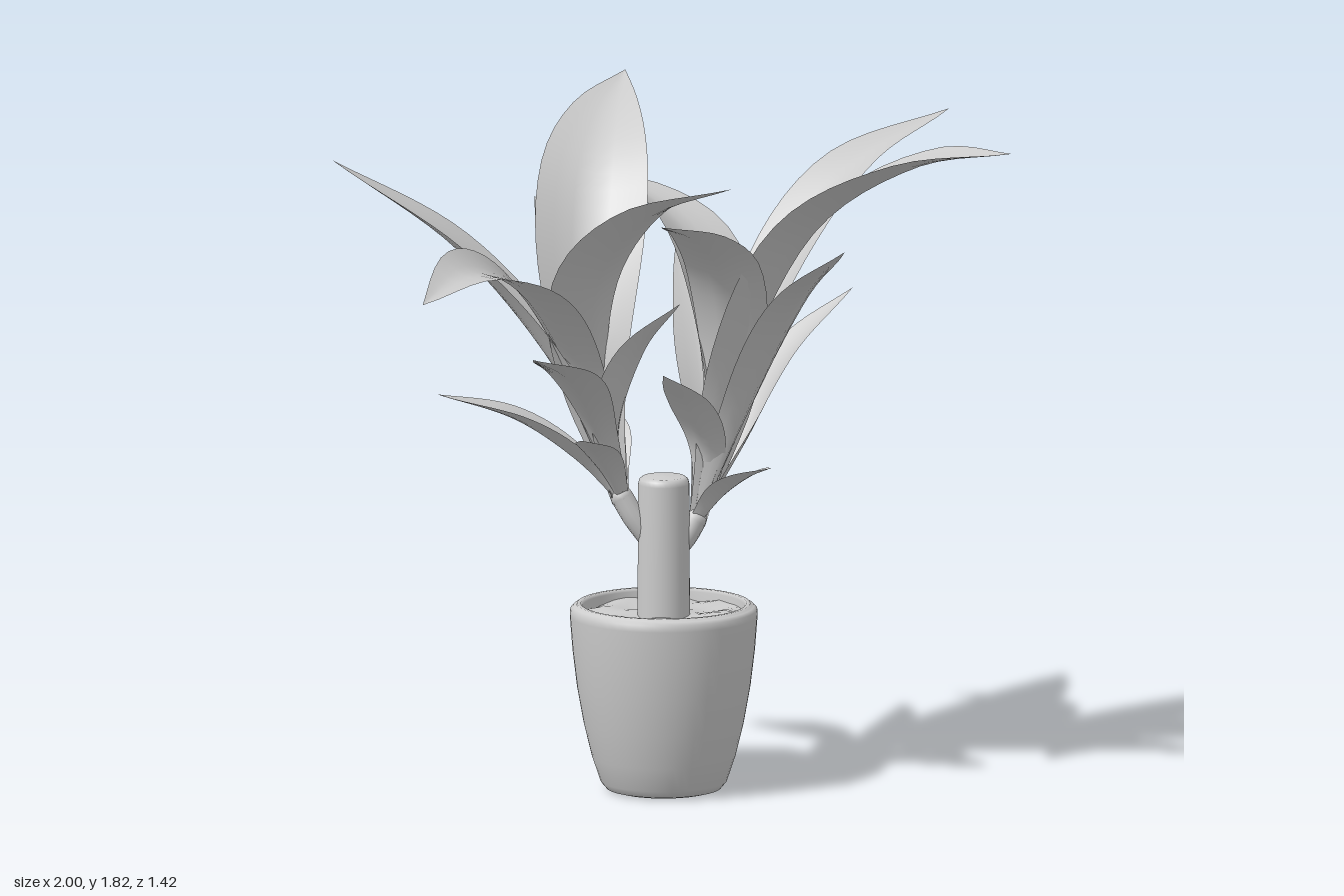
import * as THREE from 'three';

const POT_X = -0.04, POT_Z = -0.14;
const V = (p) => new THREE.Vector3(...p);
const grey = new THREE.MeshStandardMaterial({ color: 0xcccccc });
const greyThin = new THREE.MeshStandardMaterial({ color: 0xcccccc, side: THREE.DoubleSide });

function add(group, name, geometry, material = grey) {
  const mesh = new THREE.Mesh(geometry, material);
  mesh.name = name;
  group.add(mesh);
  return mesh;
}

function lathe(points, segments) {
  return new THREE.LatheGeometry(points.map(([r, y]) => new THREE.Vector2(r, y)), segments);
}

// Pointed blade swept along a curve, folded upwards along its midrib;
// roll tips the blade sideways towards its end
function leafGeometry(points, width, roll) {
  const curve = new THREE.CatmullRomCurve3(points.map(V), false, 'centripetal');
  const rows = 24, cols = 6;
  const first = V(points[0]), last = V(points[points.length - 1]);
  const across = new THREE.Vector3(last.z - first.z, 0, first.x - last.x).normalize();
  const positions = [], index = [];
  for (let i = 0; i <= rows; i++) {
    const t = i / rows;
    const centre = curve.getPointAt(t), tangent = curve.getTangentAt(t);
    const side = across.clone().addScaledVector(tangent, -across.dot(tangent)).normalize()
      .applyAxisAngle(tangent, roll * t);
    const normal = new THREE.Vector3().crossVectors(tangent, side);
    const half = 0.02 * (1 - t) + width * 0.5 * Math.sin(Math.PI * Math.pow(t, 1.33));
    const fold = 0.2 + 0.9 * Math.pow(1 - t, 2);
    for (let j = 0; j <= cols; j++) {
      const s = (j / cols) * 2 - 1;
      const p = centre.clone().addScaledVector(side, s * half)
        .addScaledVector(normal, (Math.pow(Math.abs(s), 1.4) - 0.3) * half * fold);
      positions.push(p.x, p.y, p.z);
      if (i < rows && j < cols) {
        const a = i * (cols + 1) + j, b = a + cols + 1;
        index.push(a, a + 1, b, a + 1, b + 1, b);
      }
    }
  }
  const g = new THREE.BufferGeometry();
  g.setAttribute('position', new THREE.Float32BufferAttribute(positions, 3));
  g.setIndex(index);
  g.computeVertexNormals();
  return g;
}

// Leaf lists: width, roll, then the points after the shared base
const LEFT = {
  name: 'leftShoot',
  branch: [[-0.07, 0.68, -0.165], [-0.105, 0.735, -0.185], [-0.13, 0.79, -0.205]],
  base: [-0.13, 0.775, -0.205],
  leaves: [
    [0.22, -0.45, [-0.25, 1.13, -0.25], [-0.5, 1.4, -0.15], [-0.77, 1.5, -0.04], [-1.0, 1.45, 0.06]],
    [0.21, 0, [-0.26, 1.13, -0.29], [-0.46, 1.46, -0.48], [-0.71, 1.69, -0.71]],
    [0.28, 0, [-0.18, 1.2, -0.27], [-0.06, 1.59, -0.42], [0.1, 1.75, -0.57], [0.27, 1.82, -0.71]],
    [0.22, 0, [-0.21, 1.1, -0.23], [-0.27, 1.4, -0.14], [-0.24, 1.6, 0.05], [-0.12, 1.69, 0.26]],
    [0.14, 0, [-0.15, 1.05, -0.28], [-0.12, 1.35, -0.47], [-0.08, 1.53, -0.65]],
    [0.13, 0, [-0.23, 0.98, -0.18], [-0.42, 1.16, -0.04], [-0.7, 1.28, 0.15]],
    [0.11, 0, [-0.19, 1.0, -0.17], [-0.17, 1.2, -0.1], [-0.1, 1.34, 0.01]],
    [0.14, 0, [-0.23, 0.9, -0.26], [-0.37, 1.01, -0.34], [-0.56, 1.08, -0.45]],
    [0.09, 0, [-0.2, 0.87, -0.17], [-0.28, 0.94, -0.12], [-0.4, 1.0, -0.03]],
    [0.11, 0, [-0.12, 0.86, -0.26], [-0.08, 0.94, -0.34], [-0.01, 1.0, -0.45]],
  ],
};
const RIGHT = {
  name: 'rightShoot',
  branch: [[-0.02, 0.64, -0.13], [0.015, 0.68, -0.115], [0.04, 0.725, -0.105]],
  base: [0.04, 0.71, -0.105],
  leaves: [
    [0.3, 0, [0.15, 1.13, -0.07], [0.28, 1.52, 0.09], [0.4, 1.71, 0.37], [0.47, 1.785, 0.71]],
    [0.19, 0, [0.2, 1.08, -0.11], [0.35, 1.36, -0.14], [0.62, 1.6, -0.19], [1.0, 1.7, -0.25]],
    [0.19, 0, [0.13, 1.08, -0.08], [0.06, 1.38, -0.01], [-0.1, 1.52, 0.09], [-0.31, 1.6, 0.2]],
    [0.16, 0, [0.14, 1.0, -0.04], [0.18, 1.33, 0.14], [0.15, 1.51, 0.4]],
    [0.23, 0.3, [0.16, 1.08, -0.15], [0.21, 1.43, -0.33], [0.16, 1.55, -0.53], [0.06, 1.57, -0.67]],
    [0.16, 0, [0.15, 0.95, -0.18], [0.25, 1.2, -0.35], [0.3, 1.37, -0.53]],
    [0.12, 0, [0.18, 0.92, -0.09], [0.32, 1.16, -0.06], [0.5, 1.31, -0.02]],
    [0.11, 0, [0.06, 0.9, -0.09], [-0.03, 1.04, -0.04], [-0.18, 1.16, 0.04]],
    [0.1, 0, [0.065, 0.8, -0.03], [0.08, 0.86, 0.06], [0.08, 0.9, 0.17]],
  ],
};

function shoot(spec) {
  const group = new THREE.Group();
  group.name = spec.name;
  const path = new THREE.CatmullRomCurve3(spec.branch.map(V));
  add(group, 'branch', new THREE.TubeGeometry(path, 10, 0.03, 12));
  const knob = add(group, 'branchTip', new THREE.SphereGeometry(0.03, 12, 8));
  knob.position.set(...spec.branch[2]);
  spec.leaves.forEach(([width, roll, ...points]) =>
    add(group, 'leaf', leafGeometry([spec.base, ...points], width, roll), greyThin));
  return group;
}

export function createModel() {
  const model = new THREE.Group();
  model.name = 'pottedPlant';

  // Tapered pot with a rounded foot and a stepped rim
  const pot = add(model, 'pot', lathe([
    [0, 0], [0.13, 0], [0.152, 0.006], [0.168, 0.025], [0.19, 0.09], [0.212, 0.18],
    [0.23, 0.28], [0.242, 0.38], [0.249, 0.47], [0.248, 0.488], [0.24, 0.496],
    [0.232, 0.497], [0.23, 0.503], [0.22, 0.503], [0.215, 0.495], [0.212, 0.44],
  ], 48), greyThin);
  pot.position.set(POT_X, 0, POT_Z);

  // Uneven soil
  const soilGeometry = new THREE.RingGeometry(0.001, 0.214, 40, 8).rotateX(-Math.PI / 2);
  const p = soilGeometry.attributes.position;
  for (let i = 0; i < p.count; i++) {
    const x = p.getX(i), z = p.getZ(i);
    p.setY(i, 0.006 * Math.sin(x * 31 + 1) * Math.cos(z * 27) + 0.003 * Math.sin(z * 60 + x * 20));
  }
  soilGeometry.computeVertexNormals();
  add(model, 'soil', soilGeometry).position.set(POT_X, 0.475, POT_Z);

  // Cut trunk with a softened top edge
  const trunk = add(model, 'trunk', lathe([
    [0.07, 0.44], [0.069, 0.6], [0.068, 0.825], [0.065, 0.838], [0.056, 0.845], [0, 0.847],
  ], 32));
  trunk.position.set(POT_X, 0, POT_Z);

  model.add(shoot(LEFT), shoot(RIGHT));
  return model;
}
